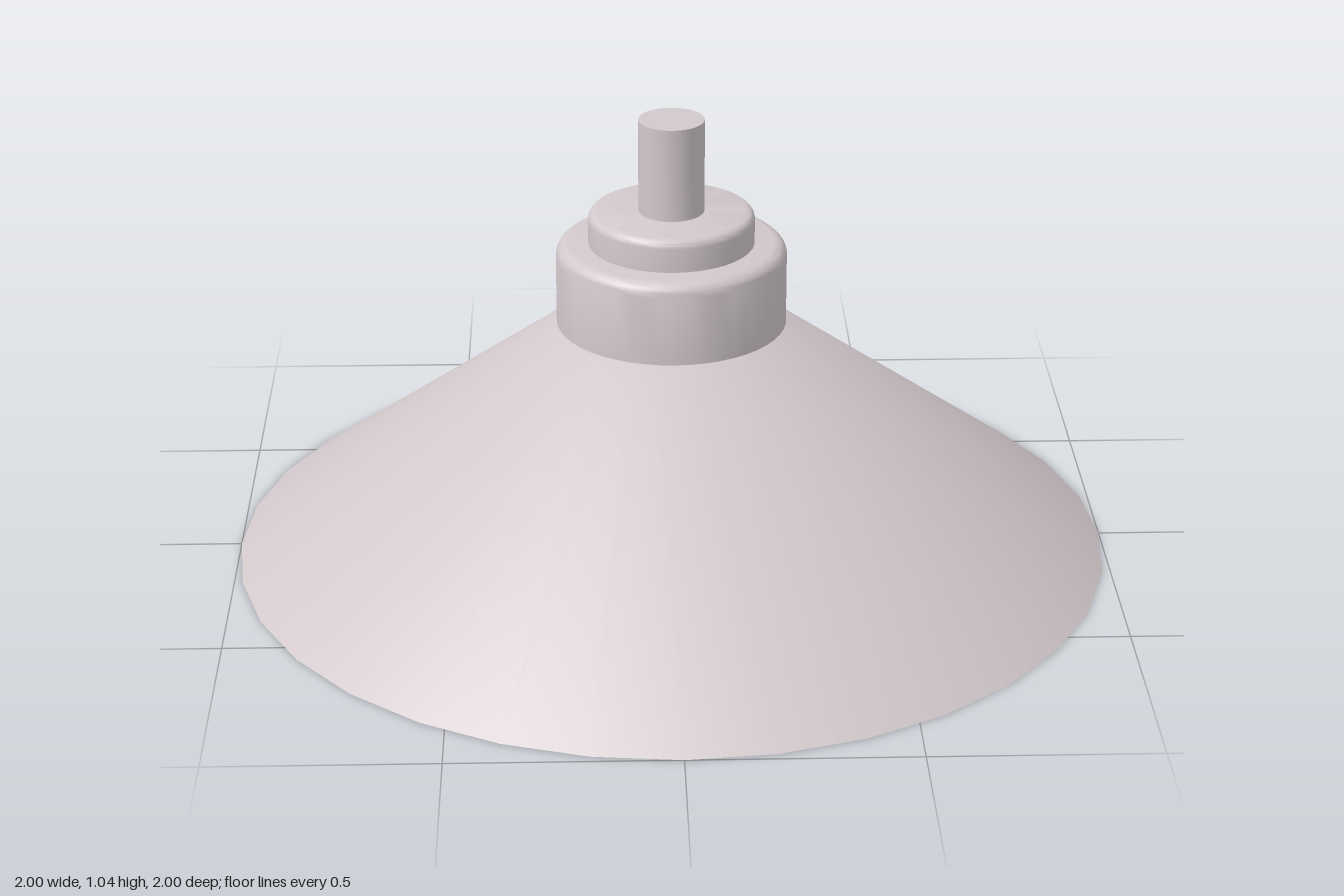
import * as THREE from 'three';
import { toCreasedNormals } from 'three/addons/utils/BufferGeometryUtils.js';

const metal = new THREE.MeshStandardMaterial({ color: 0xd2c8cb });
metal.name = 'warm grey';

// Turned part from [radius, height] pairs, listed bottom to top along the outside
function turned(name, profile, segments) {
  const points = profile.map(([r, y]) => new THREE.Vector2(r, y));
  const geometry = toCreasedNormals(new THREE.LatheGeometry(points, segments), 0.6);
  const mesh = new THREE.Mesh(geometry, metal);
  mesh.name = name;
  return mesh;
}

// Quarter-round edge; side = 1 rounds a top edge, -1 a bottom edge
function roundedEdge(radius, y, bevel, side) {
  const arc = [];
  for (let i = 0; i <= 5; i++) {
    const a = (i / 5) * Math.PI / 2;
    arc.push([radius - bevel * (1 - Math.cos(a)), y - side * bevel * (1 - Math.sin(a))]);
  }
  return side > 0 ? arc : arc.reverse();
}

// Disc with a sharp bottom edge and a rounded top edge
function collar(name, radius, bottom, top, bevel) {
  return turned(name, [[0, bottom], [radius, bottom], ...roundedEdge(radius, top, bevel, 1), [0, top]], 48);
}

export function createModel() {
  const lamp = new THREE.Group();
  lamp.name = 'pendantLamp';

  // Hollow conical shade, open at both ends
  lamp.add(turned('shade', [[1, 0], [0.26, 0.55], [0.21, 0.557], [0.94, 0], [1, 0]], 32));

  // Stacked collars and hanging stem
  lamp.add(collar('lowerCollar', 0.26, 0.56, 0.75, 0.03));
  lamp.add(collar('upperCollar', 0.187, 0.75, 0.825, 0.02));
  lamp.add(turned('stem', [[0, 0.82], [0.074, 0.82], [0.074, 1.04], [0, 1.04]], 32));

  // Bulb socket under the collar
  lamp.add(turned('socket', [[0, 0.405], ...roundedEdge(0.063, 0.405, 0.015, -1), [0.063, 0.565], [0, 0.565]], 32));

  // Bulb: round globe running into a slim neck
  const bulb = [];
  for (let i = 0; i <= 14; i++) {
    const a = (i / 14) * 2.45;
    bulb.push([0.094 * Math.sin(a), 0.21 - 0.094 * Math.cos(a)]);
  }
  bulb.push([0.049, 0.32], [0.041, 0.36], [0.036, 0.41]);
  lamp.add(turned('bulb', bulb, 32));

  return lamp;
}
